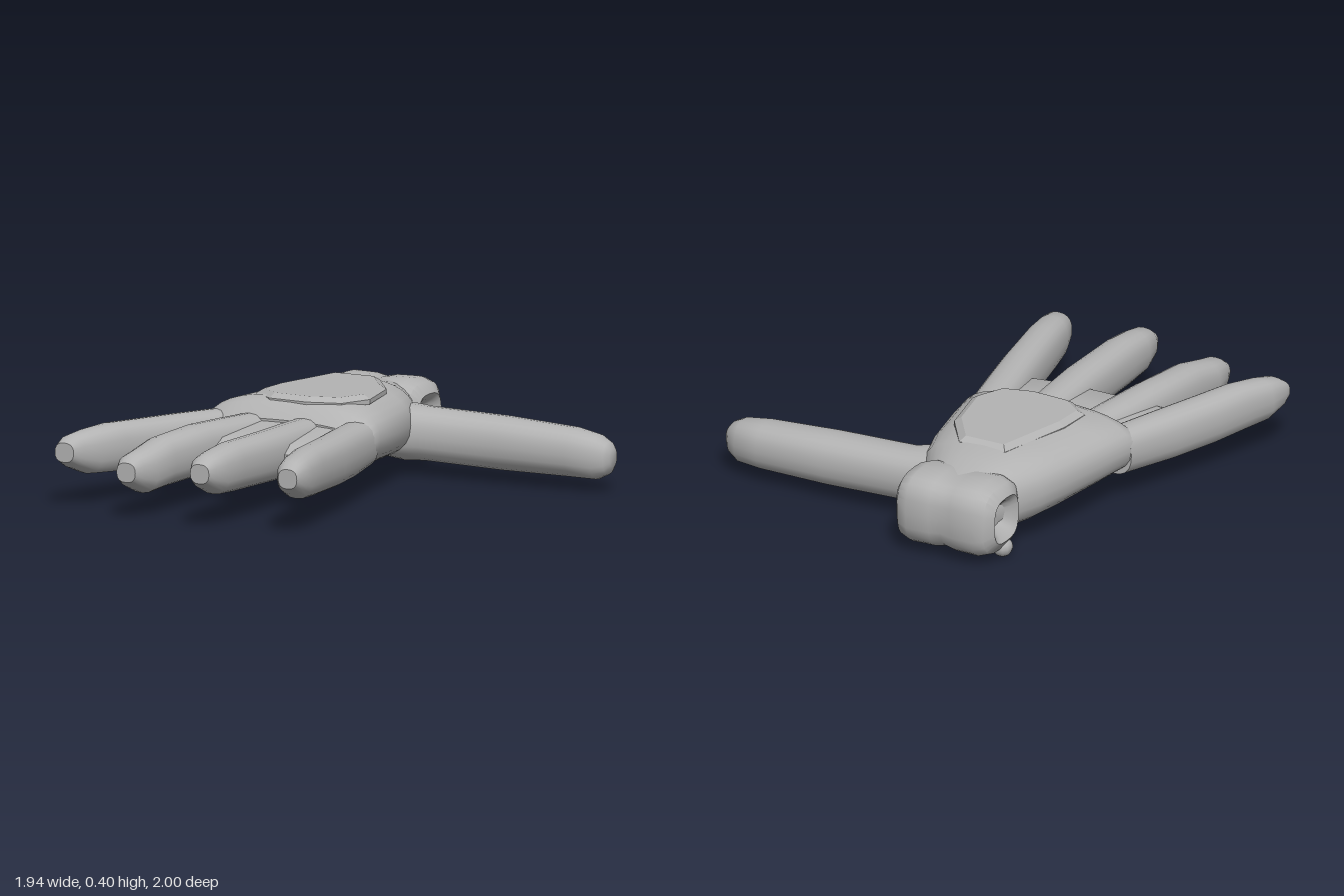
import * as THREE from 'three';
import { toCreasedNormals } from 'three/addons/utils/BufferGeometryUtils.js';

const skin = new THREE.MeshStandardMaterial({ color: 0xb3b3b3 });
skin.name = 'clay grey';

// Lofts rounded sections [z, centreX, centreY, halfWidth, halfHeight] along z and caps both ends.
// A power of 2 gives ellipses, higher powers give squarer sections.
function loft(sections, power = 2, sides = 20) {
  const pos = [], index = [];
  const round = (v) => Math.sign(v) * Math.pow(Math.abs(v), 2 / power);
  for (const [z, cx, cy, w, h] of sections) {
    for (let j = 0; j < sides; j++) {
      const a = (j / sides) * Math.PI * 2;
      pos.push(cx + w * round(Math.cos(a)), cy + h * round(Math.sin(a)), z);
    }
  }
  const last = sections.length - 1;
  for (let i = 0; i < last; i++) {
    for (let j = 0; j < sides; j++) {
      const k = (j + 1) % sides;
      const a = i * sides + j, b = i * sides + k;
      index.push(a, b, b + sides, a, b + sides, a + sides);
    }
  }
  const start = pos.length / 3;
  for (const s of [sections[0], sections[last]]) pos.push(s[1], s[2], s[0]);
  for (let j = 0; j < sides; j++) {
    const k = (j + 1) % sides;
    index.push(start, k, j, start + 1, last * sides + j, last * sides + k);
  }
  const geo = new THREE.BufferGeometry();
  geo.setAttribute('position', new THREE.Float32BufferAttribute(pos, 3));
  geo.setIndex(index);
  return toCreasedNormals(geo, 0.7);
}

export function createModel() {
  const hand = new THREE.Group();
  hand.name = 'hand';
  const add = (name, geo) => {
    const mesh = new THREE.Mesh(geo, skin);
    mesh.name = name;
    hand.add(mesh);
    return mesh;
  };

  // Palm: widens from the wrist and drops at the knuckles
  add('palm', loft([
    [-0.84, -0.29, 0.20, 0.17, 0.14],
    [-0.70, -0.285, 0.21, 0.235, 0.155],
    [-0.60, -0.28, 0.22, 0.29, 0.165],
    [-0.45, -0.275, 0.225, 0.335, 0.165],
    [-0.20, -0.275, 0.232, 0.385, 0.16],
    [-0.05, -0.28, 0.237, 0.41, 0.155],
    [0.00, -0.285, 0.23, 0.415, 0.14],
    [0.06, -0.285, 0.205, 0.41, 0.10],
  ], 2.5, 32));

  // Raised plateau on the back of the hand
  const plate = new THREE.Shape([
    [-0.38, -0.59], [-0.17, -0.59], [-0.05, -0.42], [0.00, -0.18], [-0.06, -0.05],
    [-0.20, -0.01], [-0.38, -0.02], [-0.48, -0.10], [-0.47, -0.25],
  ].map(([x, z]) => new THREE.Vector2(x, -z)));
  const plateGeo = new THREE.ExtrudeGeometry(plate, {
    depth: 0.02, bevelEnabled: true, bevelThickness: 0.02, bevelSize: 0.03, bevelOffset: -0.02, bevelSegments: 1,
  });
  plateGeo.rotateX(-Math.PI / 2).translate(0, 0.36, 0);
  add('backPlateau', plateGeo);

  // Web that joins the finger roots
  add('fingerWeb', loft([
    [-0.02, -0.285, 0.20, 0.40, 0.10],
    [0.20, -0.30, 0.20, 0.42, 0.085],
    [0.36, -0.31, 0.20, 0.44, 0.07],
    [0.42, -0.31, 0.20, 0.43, 0.035],
  ], 3, 28));

  // Fingers: root x, bend x at z 0.42, tip x, tip z, tip height
  const fingers = [
    ['littleFinger', -0.62, -0.775, -0.92, 0.83, 0.235],
    ['ringFinger', -0.44, -0.505, -0.56, 0.95, 0.20],
    ['middleFinger', -0.19, -0.17, -0.18, 1.0, 0.235],
    ['indexFinger', 0.04, 0.125, 0.215, 0.95, 0.24],
  ];
  for (const [name, rootX, midX, tipX, tipZ, tipY] of fingers) {
    const x = (z) => z < 0.42
      ? THREE.MathUtils.lerp(rootX, midX, z / 0.42)
      : THREE.MathUtils.lerp(midX, tipX, (z - 0.42) / (tipZ - 0.42));
    const row = (z, y, w, h) => [z, x(z), y, w, h];
    add(name, loft([
      row(-0.05, 0.215, 0.09, 0.10),
      row(0.20, 0.215, 0.092, 0.108),
      row(0.42, 0.22, 0.09, 0.108),
      row(tipZ - 0.25, (0.22 + tipY) / 2, 0.084, 0.105),
      row(tipZ - 0.12, tipY - 0.01, 0.078, 0.095),
      row(tipZ - 0.04, tipY, 0.065, 0.07),
      row(tipZ, tipY, 0.045, 0.042),
    ], 2.5));
  }

  // Thumb: straight out to the side
  add('thumb', loft([
    [-0.16, 0.56, 0.19, 0.15, 0.11],
    [0.00, 0.56, 0.18, 0.14, 0.12],
    [0.08, 0.58, 0.175, 0.115, 0.115],
    [0.45, 0.585, 0.165, 0.115, 0.115],
    [0.78, 0.585, 0.155, 0.105, 0.105],
    [0.90, 0.575, 0.145, 0.085, 0.095],
    [0.95, 0.57, 0.145, 0.06, 0.07],
    [0.97, 0.57, 0.15, 0.035, 0.04],
  ], 2.4)).rotation.y = Math.PI / 2;

  // Wrist: squarish barrel across the hand, waisted, with dimpled ends
  const wrist = [[-0.47, 0.045], [-0.51, 0.075], [-0.53, 0.10], [-0.50, 0.145], [-0.45, 0.162], [-0.34, 0.16],
    [-0.29, 0.15], [-0.24, 0.16], [-0.13, 0.162], [-0.08, 0.145], [-0.05, 0.10], [-0.07, 0.075], [-0.11, 0.045]];
  add('wrist', loft(wrist.map(([x, r]) => [x, 0.835, 0.192, r * 1.02, r]), 3, 24)).rotation.y = Math.PI / 2;

  // Small nub under the outer wrist corner
  const nub = add('wristNub', new THREE.SphereGeometry(0.045, 12, 8));
  nub.position.set(-0.49, 0.045, -0.80);

  return hand;
}
